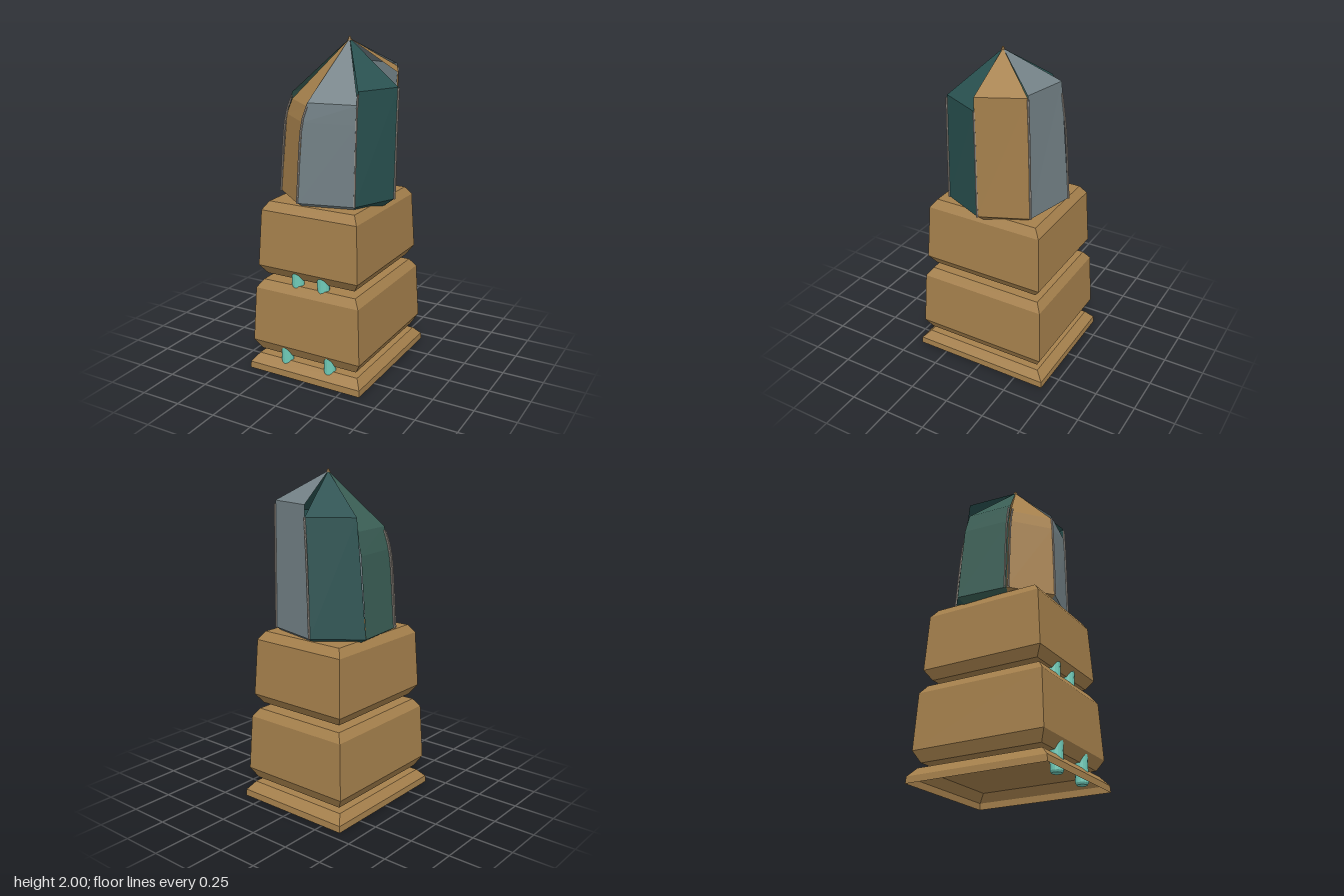
import * as THREE from 'three';

const mat = (name, color) =>
  new THREE.MeshStandardMaterial({ name, color, side: THREE.DoubleSide, flatShading: true });

// Skin a stack of cross-sections (arrays of Vector3, running from +x towards +z)
function loft(rings, closed) {
  const pos = [];
  const tri = (a, b, c) => {
    if (a.distanceTo(b) < 1e-5 || b.distanceTo(c) < 1e-5 || a.distanceTo(c) < 1e-5) return;
    for (const p of [a, b, c]) pos.push(p.x, p.y, p.z);
  };
  for (let r = 0; r < rings.length - 1; r++) {
    const lo = rings[r], hi = rings[r + 1], n = lo.length;
    for (let i = 0; i < (closed ? n : n - 1); i++) {
      const j = (i + 1) % n;
      tri(lo[j], lo[i], hi[i]);
      tri(lo[j], hi[i], hi[j]);
    }
  }
  const geo = new THREE.BufferGeometry();
  geo.setAttribute('position', new THREE.Float32BufferAttribute(pos, 3));
  geo.computeVertexNormals();
  return geo;
}

export function createModel() {
  const model = new THREE.Group();
  const tan = mat('tan', 0xa5804c);
  const slate = mat('slate', 0x728085);
  const teal = mat('darkTeal', 0x28504f);
  const sage = mat('sageTeal', 0x3a5e55);
  const silver = mat('silver', 0xa9a198);
  const aqua = mat('aqua', 0x6fcbb8);
  const add = (name, geo, material) => {
    const mesh = new THREE.Mesh(geo, material);
    mesh.name = name;
    model.add(mesh);
    return mesh;
  };

  // Stacked rectangular tiers: rows of [y, half width, half depth]
  const cx = -0.0075;
  const tier = (name, rows, openBottom) => {
    const rings = rows.map(([y, w, d]) => [[w, -d], [w, d], [-w, d], [-w, -d]]
      .map(([x, z]) => new THREE.Vector3(cx + x, y, z)));
    const flat = (y) => Array.from({ length: 4 }, () => new THREE.Vector3(cx, y, 0));
    if (!openBottom) rings.unshift(flat(rows[0][0]));
    rings.push(flat(rows[rows.length - 1][0]));
    add(name, loft(rings, true), tan);
  };
  tier('basePlinth', [[0, 0.378, 0.44], [0.04, 0.376, 0.437], [0.09, 0.338, 0.39]], true);
  tier('lowerTier', [[0.12, 0.325, 0.38], [0.185, 0.363, 0.415], [0.525, 0.346, 0.4], [0.575, 0.31, 0.365]]);
  tier('upperTier', [[0.61, 0.295, 0.345], [0.668, 0.333, 0.385], [1.01, 0.316, 0.367], [1.06, 0.283, 0.33]]);

  // Short round pegs joining the tiers at the front
  const peg = (x, z, y0, y1) => {
    const mesh = add('peg', new THREE.LatheGeometry([
      [0, y0], [0.03, y0], [0.037, y0 + 0.012], [0.037, y1], [0, y1],
    ].map(([r, y]) => new THREE.Vector2(r, y)), 14), aqua);
    mesh.position.set(x, 0, z);
  };
  peg(-0.155, 0.372, 0, 0.2);
  peg(0.14, 0.372, 0, 0.2);
  peg(-0.095, 0.337, 0.5, 0.66);
  peg(0.078, 0.337, 0.5, 0.66);

  // Seven-sided crystal: corner positions [bottom x, z, shoulder x, z]
  const corners = [
    [0.36, 0, 0.373, 0],
    [0.24, 0.265, 0.25, 0.25],
    [-0.085, 0.35, -0.035, 0.312],
    [-0.315, 0.158, -0.24, 0.142],
    [-0.345, -0.158, -0.262, -0.142],
    [-0.09, -0.352, -0.03, -0.315],
    [0.235, -0.275, 0.245, -0.255],
  ];
  const floorY = 1.08, kinkY = 1.55;
  const apex = new THREE.Vector3(0.063, 1.99, 0);
  const root = new THREE.Vector3(0.06, 0.84, 0);
  const at = (i, t, y) => {
    const [x0, z0, x1, z1] = corners[i % 7];
    return new THREE.Vector3(x0 + (x1 - x0) * t, y, z0 + (z1 - z0) * t);
  };
  // Panels: [material, shoulder height, has a kink in the wall]
  const panels = [
    [teal, 1.735, false], [slate, 1.66, true], [tan, 1.64, true], [sage, 1.68, true],
    [teal, 1.76, false], [slate, 1.83, false], [tan, 1.815, false],
  ];
  panels.forEach(([material, top, kinked], i) => {
    const row = (t, y) => [at(i, t, y), at(i + 1, t, y)];
    const rings = [[root, root], row(0, floorY)];
    if (kinked) rings.push(row(0.55, kinkY));
    rings.push(row(1, top), [apex, apex]);
    add('crystalPanel', loft(rings, false), material);
  });

  // Small cap on the point
  const cap = add('crystalTip', new THREE.CylinderGeometry(0.005, 0.014, 0.022, 6), tan);
  cap.position.set(apex.x, 1.989, 0);

  // Thin ribs following the crystal's edges
  const rib = (i, top, shift) => {
    const out = new THREE.Vector3(corners[i][0] - apex.x, 0, corners[i][1]).normalize();
    const off = out.clone().multiplyScalar(0.003)
      .add(new THREE.Vector3(-out.z, 0, out.x).multiplyScalar(shift));
    const path = new THREE.CatmullRomCurve3([
      at(i, 0, floorY).add(off), at(i, 0.55, kinkY).add(off), at(i, 1, top).add(off),
    ]);
    add('edgeRib', new THREE.TubeGeometry(path, 8, 0.006, 6), silver);
  };
  rib(0, 1.735, 0);
  rib(1, 1.72, 0);
  rib(2, 1.64, 0);
  rib(3, 1.65, -0.012);
  rib(3, 1.66, 0.012);
  rib(5, 1.76, 0);
  rib(6, 1.81, 0);

  return model;
}
